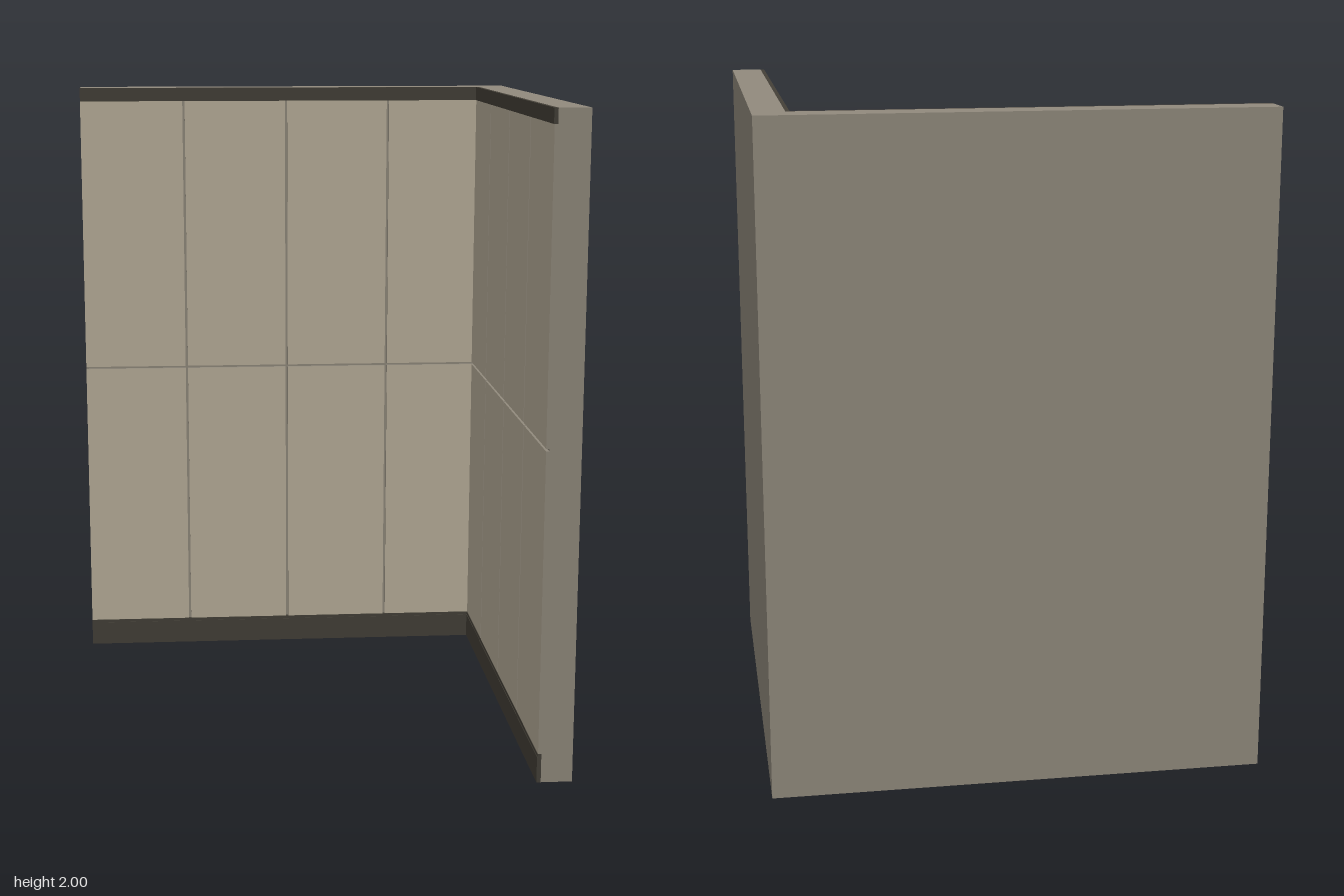
import * as THREE from 'three';

const HALF = 0.74;     // half width of the footprint
const INNER = 0.645;   // inner face of the wall core
const STEP = 0.355;    // panel spacing
const GAP = 0.008;     // groove between panels

export function createModel() {
  const model = new THREE.Group();
  model.name = 'cornerWall';
  const mat = (name, color) => {
    const m = new THREE.MeshStandardMaterial({ color });
    m.name = name;
    return m;
  };
  const stone = mat('stone grey', 0x918a7d);
  const tan = mat('panel tan', 0xbab09b);
  const dark = mat('dark trim', 0x444038);

  // L-shaped wall core, drawn in plan and raised (shape y becomes -z)
  const plan = new THREE.Shape([
    [-HALF, HALF], [-HALF, INNER], [INNER, INNER],
    [INNER, -HALF], [HALF, -HALF], [HALF, HALF],
  ].map(([x, y]) => new THREE.Vector2(x, y)));
  const coreGeo = new THREE.ExtrudeGeometry(plan, { depth: 2, bevelEnabled: false });
  coreGeo.rotateX(-Math.PI / 2);
  const core = new THREE.Mesh(coreGeo, stone);
  core.name = 'wallCore';
  model.add(core);

  // Cladding of one inner face; flip = -1 runs the panels the other way
  const cladding = (name, flip, end) => {
    const face = new THREE.Group();
    face.name = name;
    const slab = (part, u0, u1, y0, y1, depth, material) => {
      const mesh = new THREE.Mesh(new THREE.BoxGeometry(u1 - u0, y1 - y0, depth), material);
      mesh.position.set(flip * (u0 + u1) / 2, (y0 + y1) / 2, -INNER + depth / 2);
      mesh.name = part;
      face.add(mesh);
    };
    // only the exposed front of each panel is tan
    const panelMats = [stone, stone, stone, stone, tan, stone];
    for (let i = 0; i < 4; i++) {
      const u0 = -HALF + i * STEP + (i ? GAP / 2 : 0);
      const u1 = Math.min(-HALF + (i + 1) * STEP - GAP / 2, end);
      slab('lowerPanel', u0, u1, 0.09, 1.022 - GAP / 2, 0.01, panelMats);
      slab('upperPanel', u0, u1, 1.022 + GAP / 2, 1.955, 0.01, panelMats);
    }
    // skirting with a stepped lip, and the top rail
    slab('skirting', -HALF, end, 0, 0.08, 0.013, dark);
    slab('skirtingLip', -HALF, end, 0.08, 0.09, 0.0115, dark);
    slab('topRail', -HALF, end, 1.955, 2, 0.012, dark);
    model.add(face);
    return face;
  };
  cladding('backCladding', 1, INNER);
  cladding('sideCladding', -1, INNER - 0.01).rotation.y = -Math.PI / 2;

  return model;
}
